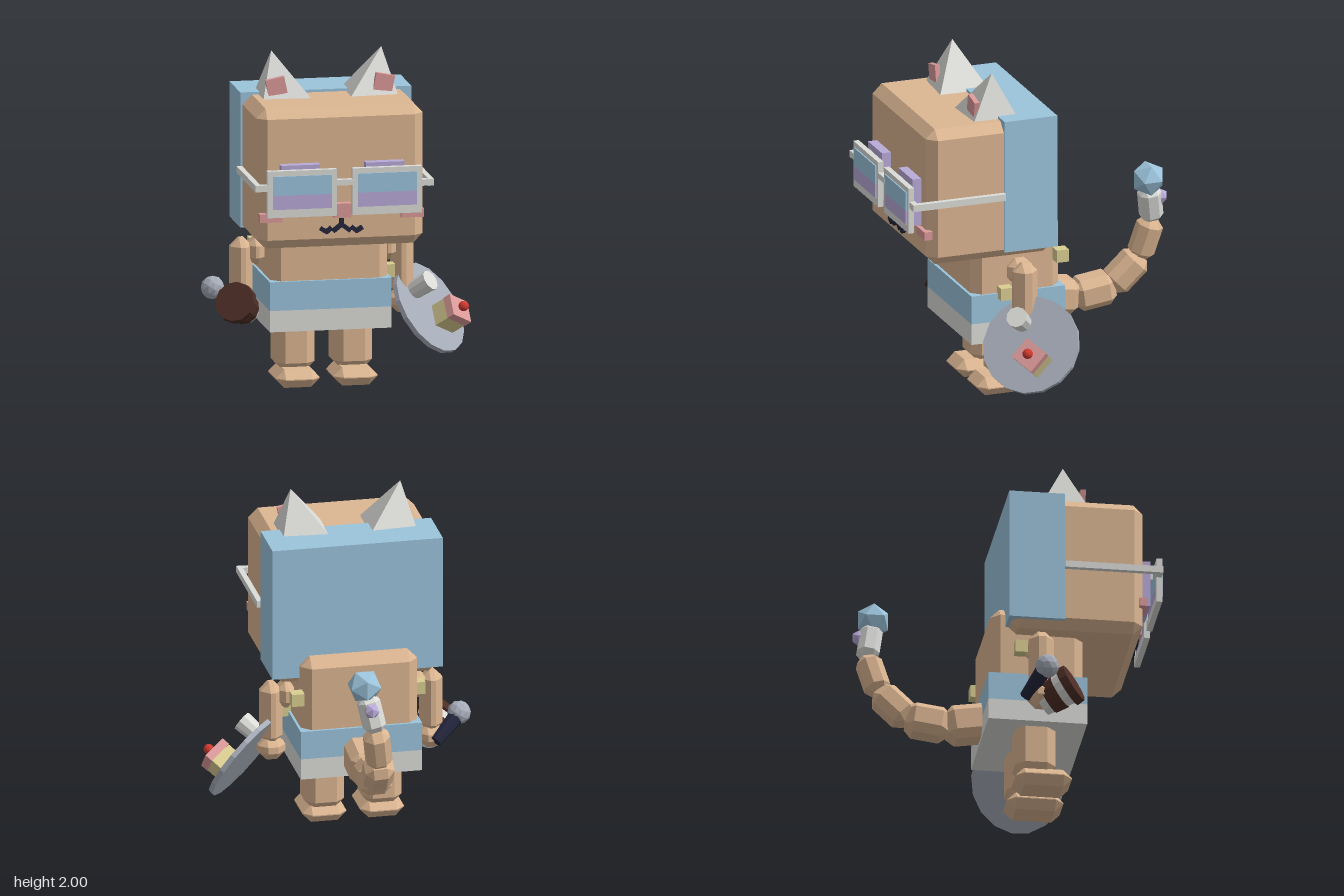
import * as THREE from 'three';
import { ConvexGeometry } from 'three/addons/geometries/ConvexGeometry.js';

const V = (x, y, z) => new THREE.Vector3(x, y, z);
const UP = V(0, 1, 0);
const CX = -0.085; // symmetry plane of the body

const mat = (name, color) => {
  const m = new THREE.MeshStandardMaterial({ color, flatShading: true });
  m.name = name;
  return m;
};

// Box with all edges and corners cut flat
function chamferBox(w, h, d, c) {
  const pts = [];
  const X = w / 2, Y = h / 2, Z = d / 2;
  for (const i of [-1, 1]) for (const j of [-1, 1]) for (const k of [-1, 1]) {
    pts.push(V(i * X, j * (Y - c), k * (Z - c)));
    pts.push(V(i * (X - c), j * Y, k * (Z - c)));
    pts.push(V(i * (X - c), j * (Y - c), k * Z));
  }
  return new ConvexGeometry(pts);
}

export function createModel() {
  const tan = mat('tan fur', 0xdcb692), blue = mat('blue', 0x9cc4dc), white = mat('off white', 0xdcdcd9);
  const pink = mat('pink', 0xdc9a9a), lilac = mat('lilac', 0xb9abd9), yellow = mat('yellow', 0xdace92);
  const grey = mat('grey', 0xa6acb8), navy = mat('navy', 0x23253c), brown = mat('dark brown', 0x4e2e26);
  const red = mat('cherry red', 0xcf3a30);

  const root = new THREE.Group();
  root.name = 'catFigure';
  const cat = new THREE.Group();
  cat.name = 'cat';
  cat.position.x = CX;
  root.add(cat);

  const add = (parent, name, geo, m, x = 0, y = 0, z = 0) => {
    const mesh = new THREE.Mesh(geo, m);
    mesh.name = name;
    mesh.position.set(x, y, z);
    parent.add(mesh);
    return mesh;
  };
  const box = (w, h, d) => new THREE.BoxGeometry(w, h, d);
  // Places a y-aligned geometry from a to b
  const between = (parent, name, make, m, a, b) => {
    const d = b.clone().sub(a);
    const mid = a.clone().add(b).multiplyScalar(0.5);
    const mesh = add(parent, name, make(d.length()), m, mid.x, mid.y, mid.z);
    mesh.quaternion.setFromUnitVectors(UP, d.normalize());
    return mesh;
  };

  // Head, hood and body
  add(cat, 'head', chamferBox(0.984, 0.828, 0.785, 0.056), tan, 0, 1.326, 0.362);
  add(cat, 'hood', box(1.011, 0.801, 0.327), blue, 0, 1.355, 0.127);
  add(cat, 'body', chamferBox(0.69, 0.687, 0.545, 0.055), tan, 0, 0.744, 0.152);
  add(cat, 'waistBand', box(0.72, 0.17, 0.579), blue, 0, 0.57, 0.152);
  add(cat, 'skirtHem', box(0.72, 0.126, 0.579), white, 0, 0.422, 0.152);

  // Paired parts
  for (const s of [-1, 1]) {
    const side = s > 0 ? 'left' : 'right';
    add(cat, side + 'Leg', chamferBox(0.233, 0.45, 0.235, 0.053), tan, s * 0.171, 0.305, 0.155);
    add(cat, side + 'Foot', chamferBox(0.26, 0.108, 0.33, 0.051), tan, s * 0.171, 0.054, 0.202);
    add(cat, side + 'Shoulder', chamferBox(0.11, 0.16, 0.15, 0.045), tan, s * 0.39, 0.79, 0.155);
    add(cat, side + 'Arm', chamferBox(0.13, 0.38, 0.145, 0.05), tan, s * 0.475, 0.68, 0.155);
    add(cat, side + 'Hand', chamferBox(0.16, 0.14, 0.16, 0.05), tan, s * 0.475, 0.465, 0.155);

    // Pyramid ear leaning outward
    add(cat, side + 'Ear', new ConvexGeometry([
      V(s * 0.325, 2, 0.303), V(s * 0.115, 1.735, 0.15), V(s * 0.115, 1.735, 0.457),
      V(s * 0.398, 1.735, 0.44), V(s * 0.398, 1.735, 0.17),
    ]), white);
    add(cat, side + 'InnerEar', box(0.112, 0.1, 0.03), pink, s * 0.318, 1.81, 0.415).rotation.z = -s * 0.2;

    // Eye behind the glasses
    add(cat, side + 'Eye', box(0.228, 0.285, 0.06), lilac, s * 0.25, 1.278, 0.78);
    add(cat, side + 'Pupil', box(0.1, 0.17, 0.008), navy, s * 0.25, 1.27, 0.813);
    add(cat, side + 'EyeGlint', box(0.06, 0.06, 0.02), white, s * 0.25 - 0.055, 1.35, 0.82);
    add(cat, side + 'Cheek', box(0.132, 0.05, 0.05), pink, s * 0.418, 1.105, 0.755);

    // Glasses: frame with a hole, two-tone lens, hinge and temple
    const frame = new THREE.Shape([[-0.205, -0.138], [0.205, -0.138], [0.205, 0.138], [-0.205, 0.138]]
      .map(p => new THREE.Vector2(...p)));
    frame.holes.push(new THREE.Path([[-0.174, -0.09], [-0.174, 0.106], [0.174, 0.106], [0.174, -0.09]]
      .map(p => new THREE.Vector2(...p))));
    add(cat, side + 'GlassesFrame', new THREE.ExtrudeGeometry(frame, { depth: 0.034, bevelEnabled: false }),
      white, s * 0.251, 1.263, 0.833);
    add(cat, side + 'LensTop', box(0.348, 0.112, 0.036), blue, s * 0.251, 1.314, 0.857);
    add(cat, side + 'LensBottom', box(0.348, 0.084, 0.036), lilac, s * 0.251, 1.216, 0.857);
    add(cat, side + 'Hinge', box(0.075, 0.038, 0.035), white, s * 0.488, 1.3, 0.845);
    add(cat, side + 'Temple', box(0.032, 0.04, 0.575), white, s * 0.511, 1.3, 0.577);
  }
  add(cat, 'glassesBridge', box(0.112, 0.034, 0.036), white, 0, 1.32, 0.85);
  add(cat, 'nose', box(0.102, 0.084, 0.052), pink, 0, 1.14, 0.78);

  // Mouth strokes
  const strokes = [[0, 1.1, 0, 1.04]];
  for (const s of [-1, 1]) strokes.push([0, 1.052, s * 0.052, 1.012],
    [s * 0.058, 1.035, s * 0.092, 1.008], [s * 0.084, 1.008, s * 0.124, 1.032]);
  for (const [x0, y0, x1, y1] of strokes) {
    between(cat, 'mouthStroke', l => box(0.025, l, 0.024), navy, V(x0, y0, 0.765), V(x1, y1, 0.765));
  }

  // Segmented tail
  const joints = [V(0, 0.5, -0.06), V(-0.005, 0.455, -0.33), V(0.003, 0.49, -0.56),
    V(0.02, 0.655, -0.725), V(0.055, 0.885, -0.79)];
  const widths = [0.21, 0.19, 0.172, 0.15];
  widths.forEach((w, i) => between(cat, 'tailSegment' + (i + 1),
    l => chamferBox(w, l + 0.02, w, 0.045), tan, joints[i], joints[i + 1]));
  between(cat, 'tailTip', l => chamferBox(0.13, l, 0.13, 0.035), white, joints[4], V(0.1, 1.1, -0.755));
  add(cat, 'tailBall', new THREE.IcosahedronGeometry(0.104, 0), blue, 0.113, 1.157, -0.747);
  add(cat, 'tailBead', new THREE.IcosahedronGeometry(0.048, 0), lilac, 0.088, 1.03, -0.83);

  // Small yellow cubes on the body
  for (const [x, y, z] of [[0.29, 0.855, -0.105], [0.29, 0.662, 0.24], [-0.46, 0.81, 0.05]]) {
    add(root, 'yellowCube', box(0.075, 0.075, 0.075), yellow, x, y, z);
  }

  // Microphone in the right hand
  add(root, 'microphoneHead', new THREE.IcosahedronGeometry(0.07, 1), grey, -0.73, 0.58, 0.165);
  between(root, 'microphoneHandle', l => new THREE.CylinderGeometry(0.05, 0.035, l, 8), navy,
    V(-0.57, 0.45, 0.06), V(-0.72, 0.57, 0.155));

  // Lidded cup in the right hand
  const cup = new THREE.Group();
  cup.name = 'cup';
  cup.position.set(-0.53, 0.435, 0.16);
  cup.quaternion.setFromUnitVectors(UP, V(-0.1, 0.09, 0.17).normalize());
  root.add(cup);
  add(cup, 'cupBody', new THREE.CylinderGeometry(0.105, 0.08, 0.19, 12), white, 0, 0.095, 0);
  add(cup, 'cupSleeve', new THREE.CylinderGeometry(0.104, 0.094, 0.08, 12), brown, 0, 0.085, 0);
  add(cup, 'cupLid', new THREE.CylinderGeometry(0.118, 0.122, 0.05, 12), brown, 0, 0.2, 0);

  // Tilted tray in the left hand with a cup and a slice of cake
  const n = V(0.645, 0.546, 0.533).normalize();
  const u = V(n.y, -n.x, 0).normalize();
  const tray = new THREE.Group();
  tray.name = 'tray';
  tray.position.set(0.545, 0.41, 0.172);
  tray.quaternion.setFromRotationMatrix(new THREE.Matrix4().makeBasis(u, n, u.clone().cross(n)));
  root.add(tray);
  add(tray, 'trayPlate', new THREE.CylinderGeometry(0.29, 0.29, 0.03, 16), grey);
  add(tray, 'trayCup', new THREE.CylinderGeometry(0.062, 0.055, 0.13, 10), white, -0.145, 0.08, 0.015);
  const cake = new THREE.Group();
  cake.name = 'cake';
  cake.position.set(0.105, 0, -0.005);
  cake.rotation.y = 0.61;
  tray.add(cake);
  add(cake, 'cakeSponge', box(0.15, 0.1, 0.135), yellow, 0, 0.06, 0);
  add(cake, 'cakeIcing', box(0.155, 0.05, 0.14), pink, 0, 0.135, 0);
  add(cake, 'cherry', new THREE.IcosahedronGeometry(0.031, 1), red, 0, 0.185, 0);

  return root;
}
